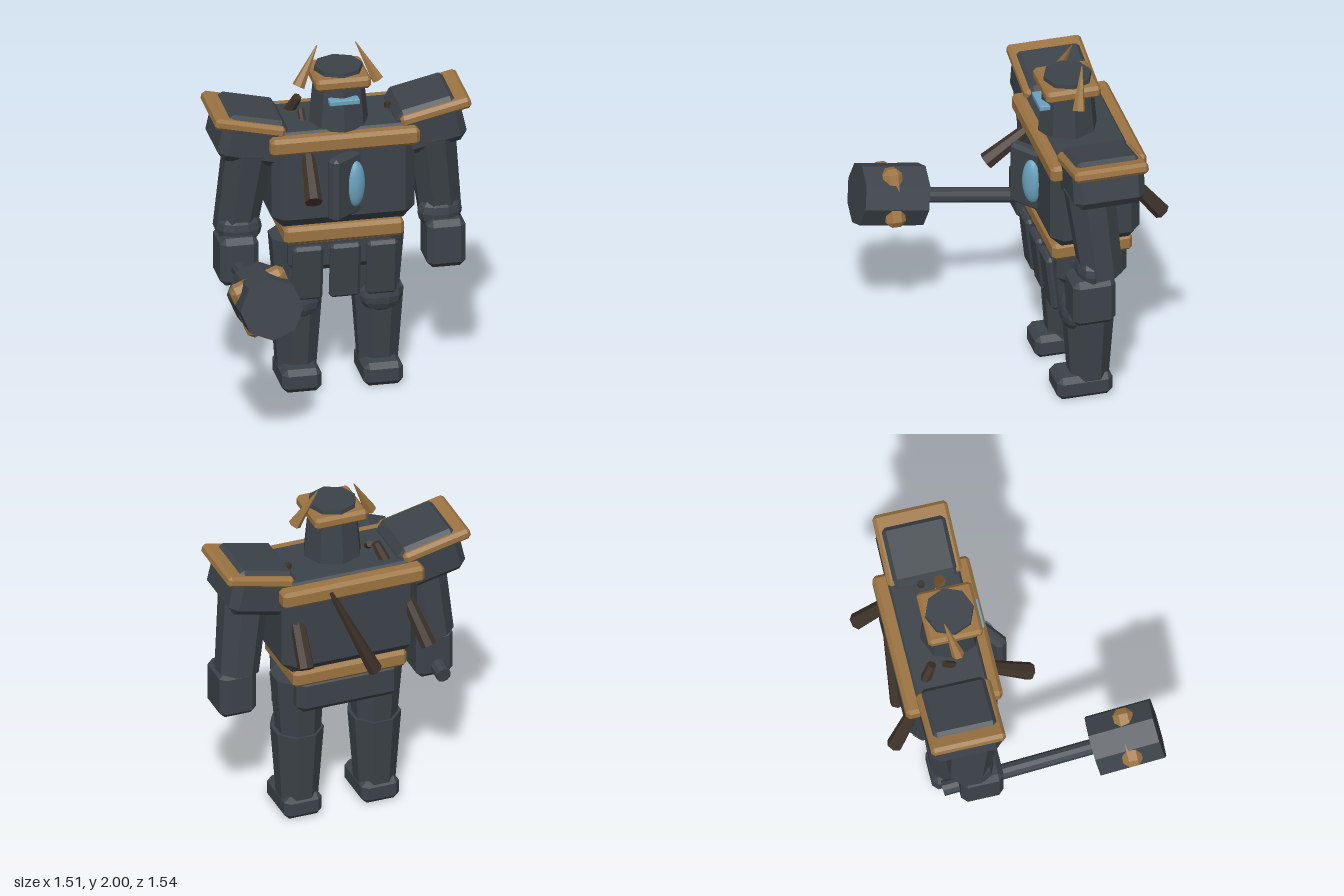
import * as THREE from 'three';
import { ConvexGeometry } from 'three/addons/geometries/ConvexGeometry.js';

const V = (x, y, z) => new THREE.Vector3(x, y, z);
const MID = 0.028; // symmetry plane of the body

export function createModel() {
  const model = new THREE.Group();
  model.name = 'armouredGuardian';

  const material = (name, color, flatShading = true) => {
    const m = new THREE.MeshStandardMaterial({ color, flatShading });
    m.name = name;
    return m;
  };
  const iron = material('darkIron', 0x3c4349);
  const gold = material('bronzeTrim', 0x9c7442);
  const wood = material('darkWood', 0x3e3229);
  const glow = material('blueGlow', 0x6aa2be, false);

  const add = (name, geometry, mat, parent = model) => {
    const mesh = new THREE.Mesh(geometry, mat);
    mesh.name = name;
    parent.add(mesh);
    return mesh;
  };

  // Box with every edge chamfered by b
  const block = (name, mat, [w, h, d], b, [x, y, z], parent = model) => {
    const points = [];
    for (const i of [-1, 1]) for (const j of [-1, 1]) for (const k of [-1, 1]) {
      const [X, Y, Z] = [w / 2, h / 2, d / 2];
      points.push(
        V(i * X, j * (Y - b), k * (Z - b)),
        V(i * (X - b), j * Y, k * (Z - b)),
        V(i * (X - b), j * (Y - b), k * Z));
    }
    const mesh = add(name, new ConvexGeometry(points), mat, parent);
    mesh.position.set(x, y, z);
    return mesh;
  };

  // Tapered prism running from point a to point b
  const rod = (name, mat, a, b, ra, rb, sides = 8, spin = 0) => {
    const axis = b.clone().sub(a);
    const geometry = new THREE.CylinderGeometry(rb, ra, axis.length(), sides);
    geometry.rotateY(spin);
    const mesh = add(name, geometry, mat);
    mesh.position.copy(a).add(b).multiplyScalar(0.5);
    mesh.quaternion.setFromUnitVectors(V(0, 1, 0), axis.normalize());
    return mesh;
  };

  // Flattened ball
  const ball = (name, mat, [rx, ry, rz], [x, y, z], w = 10, h = 8) => {
    const mesh = add(name, new THREE.SphereGeometry(1, w, h), mat);
    mesh.scale.set(rx, ry, rz);
    mesh.position.set(x, y, z);
    return mesh;
  };

  // Torso, collar, belt and hips
  block('torso', iron, [0.8, 0.565, 0.51], 0.065, [MID, 1.29, -0.348]);
  block('collar', gold, [0.835, 0.1, 0.545], 0.02, [MID, 1.51, -0.352]);
  block('belt', gold, [0.67, 0.1, 0.455], 0.02, [MID, 0.96, -0.338]);
  block('hips', iron, [0.6, 0.22, 0.4], 0.04, [MID, 0.83, -0.35]);

  // Hanging skirt plates
  for (const x of [-0.178, 0.032, 0.238]) {
    block('skirtPlate', iron, [0.172, 0.335, 0.05], 0.018, [x, 0.735, -0.125])
      .rotation.x = 0.11;
  }

  // Head, brow band and visor
  rod('head', iron, V(MID, 1.52, -0.285), V(MID, 1.9, -0.285), 0.172, 0.135);
  block('browBand', gold, [0.31, 0.07, 0.31], 0.018, [MID, 1.84, -0.282]);
  block('visor', glow, [0.168, 0.028, 0.06], 0.003, [MID, 1.743, -0.136]);

  // Parts mirrored on both sides
  const spin = Math.PI / 8;
  for (const s of [-1, 1]) {
    const at = (x, y, z) => V(MID + s * x, y, z);
    const spot = (x, y, z) => [MID + s * x, y, z];

    rod('horn', gold, at(0.222, 1.785, -0.288), at(0.108, 2, -0.338), 0.036, 0.003, 6);

    // Pauldron with trim, outer edge raised
    const tilt = s * 0.225;
    block('pauldron', iron, [0.365, 0.275, 0.405], 0.045, spot(0.5, 1.53, -0.343)).rotation.z = tilt;
    block('pauldronTrim', gold, [0.4, 0.065, 0.42], 0.018, spot(0.52, 1.62, -0.343)).rotation.z = tilt;

    // Arm
    rod('arm', iron, at(0.575, 0.95, -0.315), at(0.51, 1.47, -0.265), 0.122, 0.142, 8, spin);
    ball('elbowGuard', iron, [0.125, 0.105, 0.076], spot(0.56, 0.985, -0.25));
    block('fist', iron, [0.215, 0.28, 0.24], 0.032, spot(0.58, 0.82, -0.255));

    // Leg
    rod('thigh', iron, at(0.225, 0.5, -0.345), at(0.23, 0.88, -0.345), 0.125, 0.152, 8, spin);
    rod('shin', iron, at(0.228, 0.1, -0.337), at(0.228, 0.53, -0.337), 0.116, 0.148, 8, spin);
    ball('kneeGuard', iron, [0.12, 0.1, 0.06], spot(0.228, 0.515, -0.238));
    block('foot', iron, [0.22, 0.135, 0.315], 0.03, spot(0.228, 0.0675, -0.298));
  }

  // Turned chest plate with glowing gem
  block('chestPlate', iron, [0.33, 0.375, 0.075], 0.02, [0.06, 1.27, -0.1]).rotation.y = 0.66;
  ball('chestGem', glow, [0.06, 0.135, 0.045], [0.08, 1.27, -0.07], 24, 16).rotation.y = 0.66;

  // Hammer: shaft, head and a tilted square band around it
  rod('hammerShaft', iron, V(-0.56, 0.735, -0.46), V(-0.56, 0.88, 0.42), 0.043, 0.043, 10);
  rod('hammerHead', iron, V(-0.561, 0.88, 0.385), V(-0.561, 0.938, 0.747), 0.177, 0.177);
  block('hammerBand', gold, [0.325, 0.325, 0.11], 0.03, [-0.561, 0.908, 0.57])
    .rotation.set(-0.02, 0, 0.37);

  // Broken stakes lodged in the body: start, end, radii
  const stakes = [
    [V(-0.175, 1.47, -0.15), V(-0.193, 1.265, 0.115), 0.035, 0.05],
    [V(-0.23, 1.5, -0.5), V(-0.17, 1.655, -0.43), 0.038, 0.026],
    [V(-0.165, 1.5, -0.24), V(-0.165, 1.61, -0.36), 0.02, 0.02],
    [V(0.325, 1.5, -0.375), V(0.325, 1.6, -0.375), 0.02, 0.02],
    [V(0.34, 1.38, -0.53), V(0.357, 1.13, -0.73), 0.04, 0.048],
    [V(-0.3, 1.36, -0.56), V(-0.38, 1.1, -0.69), 0.036, 0.046],
    [V(0.17, 1.52, -0.615), V(-0.095, 0.96, -0.605), 0.016, 0.043],
  ];
  for (const [a, b, ra, rb] of stakes) rod('stake', wood, a, b, ra, rb, 7);

  return model;
}
